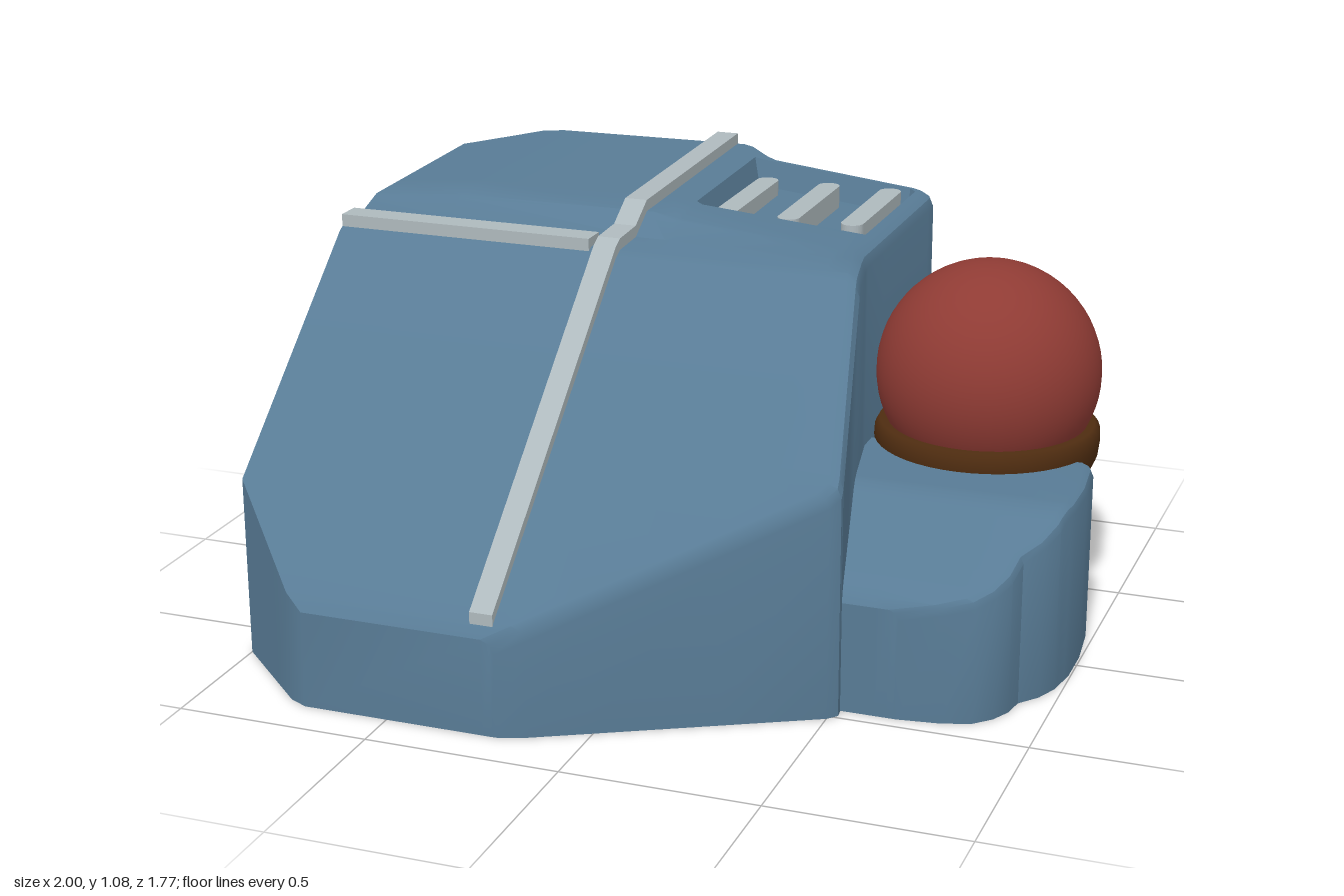
import * as THREE from 'three';
import { toCreasedNormals } from 'three/addons/utils/BufferGeometryUtils.js';

const mat = (name, color) => new THREE.MeshStandardMaterial({ name, color });

// piecewise linear lookup in [[key, value], ...] with rising keys
function lookup(table, k) {
  if (k <= table[0][0]) return table[0][1];
  for (let i = 1; i < table.length; i++) {
    const [k0, v0] = table[i - 1], [k1, v1] = table[i];
    if (k <= k1) return v0 + (v1 - v0) * (k - k0) / (k1 - k0);
  }
  return table[table.length - 1][1];
}

// Block with vertical walls: cross-sections in x,y placed along z
function loft({ rows, left, right, cols, height, bevel }) {
  const zs = [...new Set([...rows, ...left.map(p => p[0]), ...right.map(p => p[0])])].sort((a, b) => a - b);
  const sections = zs.map(z => {
    const xl = lookup(left, z), xr = lookup(right, z);
    const top = [xl, ...cols, xr - bevel].map(c => {
      const x = Math.max(xl, Math.min(xr - bevel, c));
      return [x, height(x, z), z];
    });
    const h = height(xr, z);
    top.push([xr - bevel * 0.3, h - bevel * 0.3, z], [xr, h - bevel, z]);
    return [...top, ...top.map(p => [p[0], 0, z]).reverse()];
  });
  const pos = [];
  const quad = (a, b, c, d) => pos.push(...a, ...b, ...c, ...a, ...c, ...d);
  const n = sections[0].length;
  for (let r = 0; r < sections.length - 1; r++) {
    const A = sections[r], B = sections[r + 1];
    for (let i = 0; i < n; i++) {
      const j = (i + 1) % n;
      quad(A[i], B[i], B[j], A[j]);
    }
  }
  const back = sections[0], front = sections[sections.length - 1];
  for (let i = 0; i < n / 2 - 1; i++) {
    quad(front[n - 1 - i], front[n - 2 - i], front[i + 1], front[i]);
    quad(back[n - 1 - i], back[i], back[i + 1], back[n - 2 - i]);
  }
  const geo = new THREE.BufferGeometry();
  geo.setAttribute('position', new THREE.Float32BufferAttribute(pos, 3));
  return toCreasedNormals(geo, 0.5);
}

// Height of the hull roof: long front slope, ridge, then a raised rear deck
const rise = [[-1, 0.035], [-0.75, 0.06], [-0.2, 0.065], [-0.05, 0.035], [0.38, -0.005]];
const deck = [[-0.88, 1], [-0.16, 0.75], [-0.08, 0]];
const slope = [[-0.08, 0.985], [0.03, 0.98], [0.06, 0.965], [0.86, 0.285], [0.885, 0.25]];
function roof(x, z) {
  const drop = z < -0.87 ? (-0.87 - z) * 1.2 : 0;
  return lookup(slope, z) + lookup(rise, x) * lookup(deck, z) - drop;
}
const inVent = (x, z) => x > -0.121 && x < 0.311 && z > -0.771 && z < -0.319;

export function createModel() {
  const group = new THREE.Group();
  const blue = mat('hullBlue', 0x587b95);
  const dark = mat('sideDark', 0x10242f);
  const grey = mat('trimGrey', 0xaeb9bd);
  const red = mat('ballRed', 0x8f3b34);
  const brown = mat('cupBrown', 0x4e2c10);
  const add = (name, geo, material, x = 0, y = 0, z = 0) => {
    const mesh = new THREE.Mesh(geo, material);
    mesh.name = name;
    mesh.position.set(x, y, z);
    group.add(mesh);
    return mesh;
  };

  // Main hull with the sunken vent in its roof
  add('hull', loft({
    rows: [-0.88, -0.87, -0.79, -0.77, -0.32, -0.305, -0.16, -0.08, 0.03, 0.06, 0.3, 0.86],
    left: [[-0.89, -0.79], [-0.72, -1], [0.64, -1], [0.86, -0.77], [0.885, -0.72]],
    right: [[-0.89, -0.18], [-0.87, -0.14], [-0.825, -0.08], [-0.805, -0.03], [-0.8, 0.35], [-0.79, 0.375],
      [-0.77, 0.382], [-0.15, 0.385], [0.05, 0.425], [0.47, 0.52], [0.49, 0.522], [0.515, 0.5],
      [0.79, -0.01], [0.86, -0.14], [0.885, -0.21]],
    cols: [-0.75, -0.2, -0.14, -0.12, 0.31, 0.33],
    height: (x, z) => roof(x, z) - (inVent(x, z) ? 0.07 : 0),
    bevel: 0.035,
  }), blue);

  // Flat dark side panel
  const panel = new THREE.Shape([[0.64, 0], [-0.72, 0]].map(p => new THREE.Vector2(...p)));
  for (const z of [-0.72, -0.16, -0.08, 0.03, 0.06, 0.64]) panel.lineTo(z, roof(-1, z));
  add('sidePanel', new THREE.ShapeGeometry(panel).rotateY(-Math.PI / 2), dark, -1.001);

  // Lower side block that carries the cup
  add('sideBlock', loft({
    rows: [-0.23, -0.215, 0.1, 0.14],
    left: [[-0.24, 0.34], [0.46, 0.45]],
    right: [[-0.24, 0.93], [-0.225, 0.965], [-0.19, 0.98], [-0.05, 0.995], [0.07, 0.995], [0.16, 0.98],
      [0.22, 0.955], [0.27, 0.915], [0.33, 0.905], [0.38, 0.88], [0.42, 0.84], [0.445, 0.77], [0.46, 0.66]],
    cols: [0.6, 0.8],
    height: (x, z) => lookup([[-0.24, 0.43], [-0.215, 0.465], [0.1, 0.465], [0.14, 0.455], [0.44, 0.315], [0.46, 0.285]], z),
    bevel: 0.025,
  }), blue);

  // Ball in its cup
  add('ball', new THREE.SphereGeometry(0.292, 48, 32), red, 0.662, 0.645, -0.335);
  const cup = [[0, 0.35], [0.19, 0.345], [0.24, 0.355], [0.27, 0.385], [0.29, 0.43], [0.295, 0.47], [0.293, 0.5], [0.28, 0.513], [0.2, 0.513]];
  add('cup', new THREE.LatheGeometry(cup.map(p => new THREE.Vector2(...p)), 48), brown, 0.662, 0, -0.335);

  // Long trim strip following the roof from front to back
  const path = [0.865, 0.06, 0.03, -0.08, -0.16, -0.87].map(z => [-z, roof(-0.25, z)]);
  const strip = new THREE.Shape([
    ...path.map(([u, y]) => new THREE.Vector2(u, y - 0.02)),
    ...path.map(([u, y]) => new THREE.Vector2(u, y + 0.03)).reverse(),
  ]);
  add('longStrip', new THREE.ExtrudeGeometry(strip, { depth: 0.06, bevelEnabled: false }).rotateY(Math.PI / 2), grey, -0.28);

  // Cross strip along the ridge
  add('crossStrip', new THREE.BoxGeometry(0.7, 0.04, 0.07), grey, -0.65, 0.985, 0.01);

  // Vent slats with rounded ends
  for (const x of [-0.077, 0.1, 0.275]) {
    const slat = new THREE.Shape();
    slat.absarc(0, 0.172, 0.03, 0, Math.PI);
    slat.absarc(0, -0.172, 0.03, Math.PI, Math.PI * 2);
    const geo = new THREE.ExtrudeGeometry(slat, { depth: 0.07, bevelEnabled: false, curveSegments: 8 });
    add('ventSlat', geo.rotateX(-Math.PI / 2), grey, x, 0.925, -0.54);
  }
  return group;
}
